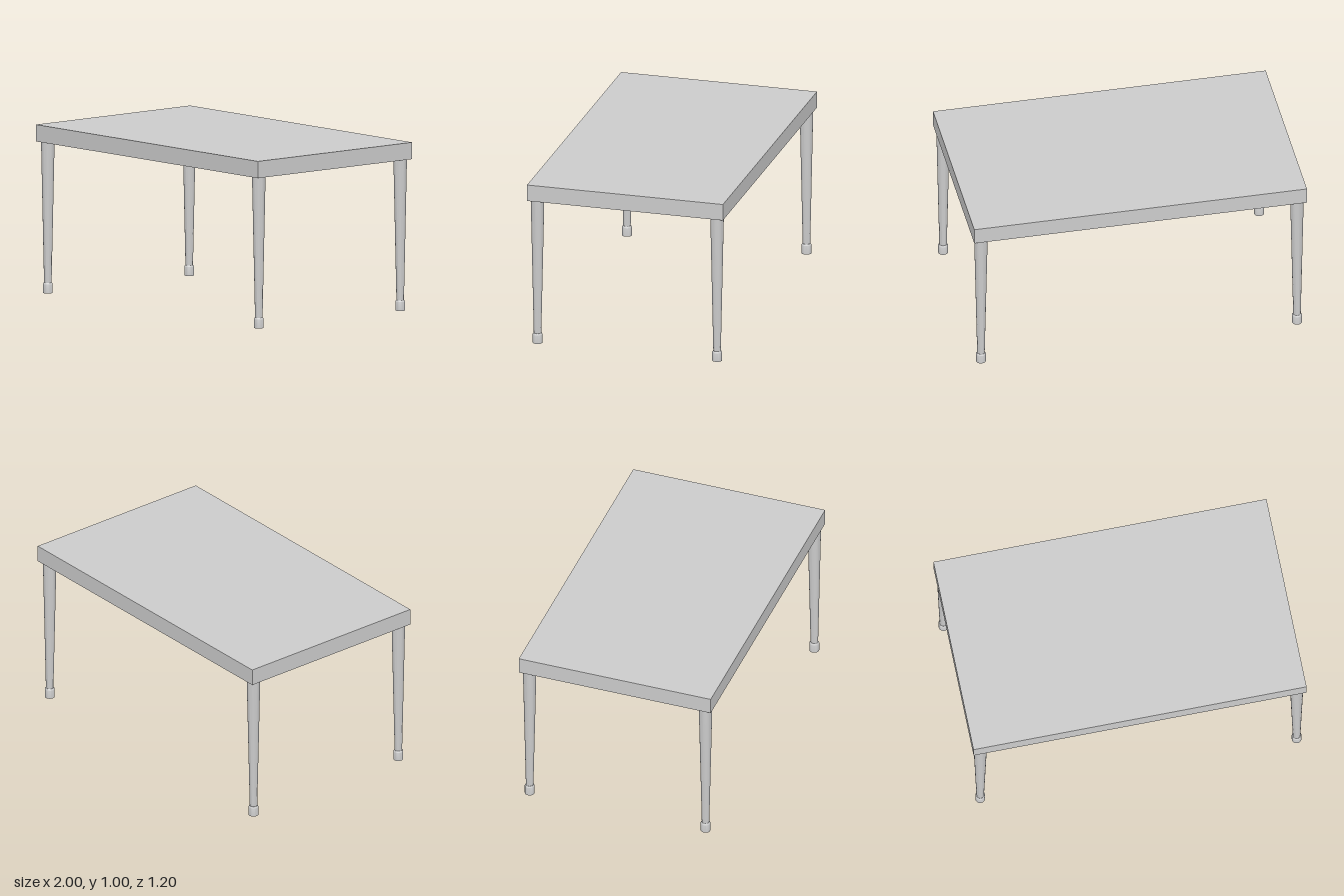
import * as THREE from 'three';
import { toCreasedNormals } from 'three/addons/utils/BufferGeometryUtils.js';

const SLAB = { width: 2, height: 0.1, depth: 1.2, bottom: 0.9 };
const LEG_X = 0.95, LEG_Z = 0.55;

// Solid turned shape from [radius, y] pairs listed bottom to top
function turned(points) {
  const profile = points.map(([r, y]) => new THREE.Vector2(r, y));
  return toCreasedNormals(new THREE.LatheGeometry(profile, 24), 0.6);
}

export function createModel() {
  const material = new THREE.MeshStandardMaterial({ color: 0xcccccc });
  const table = new THREE.Group();
  table.name = 'table';

  const add = (parent, geometry, name) => {
    const mesh = new THREE.Mesh(geometry, material);
    mesh.name = name;
    parent.add(mesh);
    return mesh;
  };

  // Table top
  const top = add(table, new THREE.BoxGeometry(SLAB.width, SLAB.height, SLAB.depth), 'tableTop');
  top.position.y = SLAB.bottom + SLAB.height / 2;

  // Tapered shaft, and the foot cap with a bevelled upper rim
  const shaft = turned([[0, 0.05], [0.022, 0.05], [0.04, SLAB.bottom], [0, SLAB.bottom]]);
  const foot = turned([[0, 0], [0.029, 0], [0.029, 0.053], [0.023, 0.062], [0, 0.062]]);

  // Four legs at the corners
  for (const [side, sx] of [['Left', 1], ['Right', -1]]) {
    for (const [end, sz] of [['front', 1], ['back', -1]]) {
      const leg = new THREE.Group();
      leg.name = `${end}${side}Leg`;
      add(leg, shaft, 'legShaft');
      add(leg, foot, 'legFoot');
      leg.position.set(sx * LEG_X, 0, sz * LEG_Z);
      table.add(leg);
    }
  }

  return table;
}
